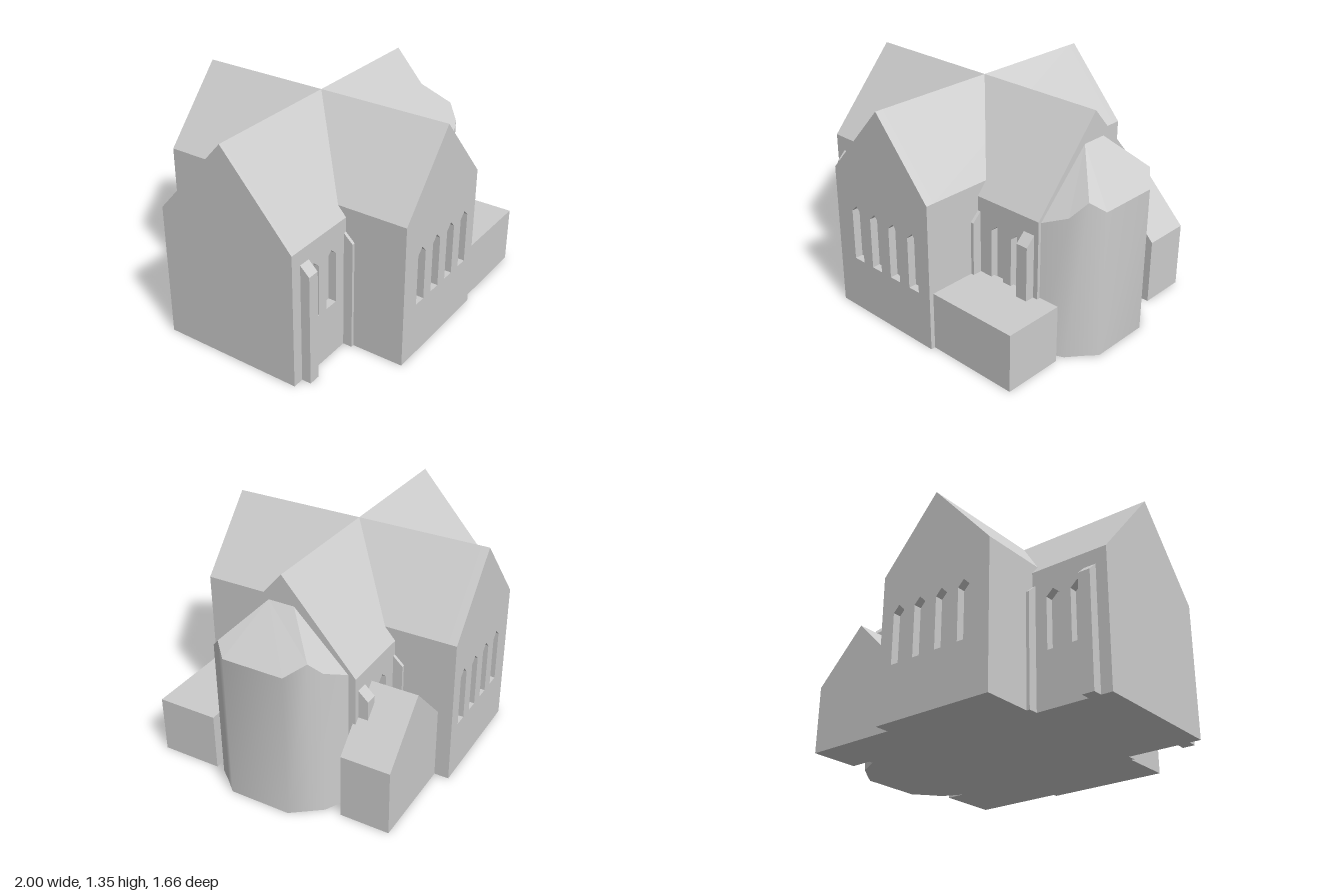
import * as THREE from 'three';

const stone = new THREE.MeshStandardMaterial({ color: 0xcccccc });
stone.name = 'pale stone';

// Pointed-arch outline
function arch(x0, x1, y0, shoulder, apex) {
  return [[x0, y0], [x1, y0], [x1, shoulder], [(x0 + x1) / 2, apex], [x0, shoulder]];
}

// Outline (with optional holes) extruded by depth along +z
function prism(points, depth, holes = []) {
  const toVectors = (list) => list.map(([x, y]) => new THREE.Vector2(x, y));
  const shape = new THREE.Shape(toVectors(points));
  holes.forEach((h) => shape.holes.push(new THREE.Path(toVectors(h))));
  return new THREE.ExtrudeGeometry(shape, { depth, bevelEnabled: false });
}

// Outline given as [z, y], extruded from x0 to x1
function prismX(points, x0, x1, holes = []) {
  const flip = (list) => list.map(([z, y]) => [-z, y]);
  return prism(flip(points), x1 - x0, holes.map(flip)).rotateY(Math.PI / 2).translate(x0, 0, 0);
}

function fanFaces(faces) {
  const pos = [];
  for (const f of faces) {
    for (let i = 1; i < f.length - 1; i++) pos.push(...f[0], ...f[i], ...f[i + 1]);
  }
  const g = new THREE.BufferGeometry();
  g.setAttribute('position', new THREE.Float32BufferAttribute(pos, 3));
  g.computeVertexNormals();
  return g;
}

export function createModel() {
  const model = new THREE.Group();
  model.name = 'church';
  const add = (name, geometry) => {
    const mesh = new THREE.Mesh(geometry, stone);
    mesh.name = name;
    model.add(mesh);
  };
  const recess = 0.05, front = 0.445, back = -0.455, east = 0.73;

  // Nave: gabled core, stepped in below the eaves to leave room for the window walls
  add('nave', prismX([
    [back + recess, 0], [front - recess, 0], [front - recess, 0.76], [front, 0.76], [front, 0.84],
    [-0.005, 1.35], [back, 0.84], [back, 0.76], [back + recess, 0.76],
  ], -0.98, east));

  // West end with the recessed door
  add('westGable', prismX(
    [[back, 0], [front, 0], [front, 0.84], [-0.005, 1.35], [back, 0.84]],
    -1, -0.98, [arch(-0.07, 0.06, 0.03, 0.27, 0.34)],
  ));

  // Nave side walls pierced by lancet windows
  const naveWindows = [-0.855, -0.695, 0.38, 0.53].map((x) => arch(x, x + 0.09, 0.34, 0.66, 0.7));
  const sideWall = [[-0.98, 0], [east, 0], [east, 0.76], [-0.98, 0.76]];
  add('frontNaveWall', prism(sideWall, recess, naveWindows).translate(0, 0, front - recess));
  add('backNaveWall', prism(sideWall, recess, naveWindows).translate(0, 0, back));

  // Transept: gabled core and a windowed wall at each end
  const gable = [[-0.51, 0], [0.275, 0], [0.275, 0.915], [-0.11, 1.35], [-0.51, 0.9]];
  const transeptWindows = [-0.375, -0.215, -0.055, 0.105].map((x) => arch(x, x + 0.08, 0.34, 0.66, 0.7));
  add('transept', prism(gable, 1.56).translate(0, 0, -0.78));
  for (const [name, z] of [['frontTranseptWall', 0.78], ['backTranseptWall', -0.83]]) {
    add(name, prism(gable, recess, transeptWindows).translate(0, 0, z));
  }

  // Buttresses with sloping caps
  for (const [x0, x1] of [[-0.93, -0.855], [-0.53, -0.455], [0.22, 0.295], [0.625, 0.7]]) {
    add('frontButtress', prismX([[0.42, 0], [0.503, 0], [0.503, 0.695], [front, 0.75], [0.42, 0.75]], x0, x1));
    add('backButtress', prismX([[-0.43, 0], [-0.43, 0.75], [back, 0.75], [-0.515, 0.695], [-0.515, 0]], x0, x1));
  }

  // Apse: wall outline as [x, z, wall top], smooth around the curve
  const rim = [
    [east, 0.425, 0.83], [0.87, 0.365, 0.885], [0.935, 0.283, 0.97], [1, 0.21, 0.91],
    [1, -0.17, 0.91], [0.92, -0.275, 0.985], [0.87, -0.34, 0.92], [east, -0.41, 0.855],
  ];
  const wallPos = [], wallIndex = [];
  rim.forEach(([x, z, y], i) => {
    wallPos.push(x, 0, z, x, y, z);
    const a = 2 * i;
    if (i < rim.length - 1) wallIndex.push(a, a + 2, a + 3, a, a + 3, a + 1);
  });
  const wall = new THREE.BufferGeometry();
  wall.setAttribute('position', new THREE.Float32BufferAttribute(wallPos, 3));
  wall.setIndex(wallIndex);
  wall.computeVertexNormals();
  add('apseWall', wall);

  // Apse roof facets and floor
  const top = rim.map(([x, z, y]) => [x, y, z]);
  const peakF = [east, 1.18, 0.08], peakB = [east, 1.18, -0.08];
  add('apseRoof', fanFaces([
    [peakF, top[0], top[1], top[2]],
    [peakF, top[2], top[3], top[4], top[5], peakB],
    [peakB, top[5], top[6], top[7]],
  ]));
  add('apseFloor', fanFaces([rim.map(([x, z]) => [x, 0, z]).reverse()]));

  // Flat-roofed annex at the front
  add('frontAnnex', new THREE.BoxGeometry(0.585, 0.36, 0.38).translate(0.5675, 0.18, 0.612));

  // Gabled annex at the back
  add('backAnnex', prism(
    [[0.275, 0], [0.865, 0], [0.865, 0.41], [0.55, 0.73], [0.275, 0.45]], 0.303,
  ).translate(0, 0, -0.74));

  return model;
}
